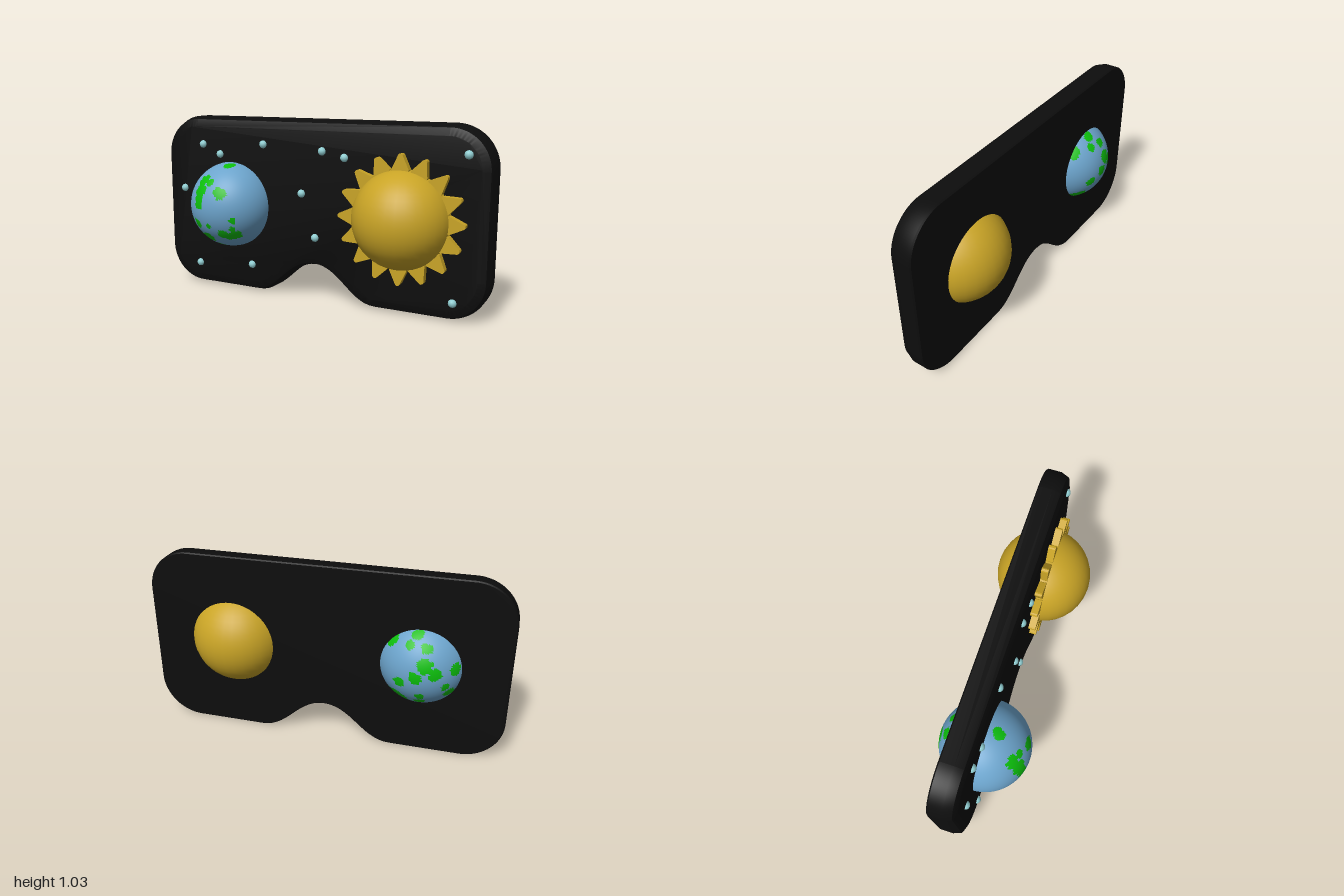
import * as THREE from 'three';
import { toCreasedNormals } from 'three/addons/utils/BufferGeometryUtils.js';

const material = (name, color) => {
  const m = new THREE.MeshStandardMaterial({ color });
  m.name = name;
  return m;
};

// Mask outline, counter-clockwise, with rounded corners and a nose notch
function maskOutline() {
  const r = 0.23, top = 1.027, P = Math.PI;
  const s = new THREE.Shape();
  s.moveTo(0, 0.2);
  s.bezierCurveTo(-0.16, 0.2, -0.22, 0, -0.38, 0);
  s.lineTo(-1 + r, 0);
  s.absarc(-1 + r, r, r, -P / 2, -P, true);
  s.absarc(-1 + r, top - r, r, P, P / 2, true);
  s.absarc(1 - r, top - r, r, P / 2, 0, true);
  s.absarc(1 - r, r, r, 0, -P / 2, true);
  s.lineTo(0.38, 0);
  s.bezierCurveTo(0.22, 0, 0.16, 0.2, 0, 0.2);
  const pts = s.getPoints(14).reverse();
  return pts.filter((p, i) => p.distanceTo(pts[(i + 1) % pts.length]) > 1e-4);
}

// Mask body: the outline repeated as inset rings from back to front, then capped
function maskGeometry() {
  const outline = maskOutline(), n = outline.length;
  const rings = [[-0.125, 0.006], [-0.118, 0], [-0.045, 0], [0, 0.017], [0.015, 0.058]];
  const pos = [], idx = [];
  const inset = d => outline.map((p, i) => {
    const t = outline[(i + 1) % n].clone().sub(outline[(i + n - 1) % n]).normalize();
    return new THREE.Vector2(p.x - t.y * d, p.y + t.x * d);
  });
  for (const [z, d] of rings) for (const p of inset(d)) pos.push(p.x, p.y, z);
  for (let k = 0; k < rings.length - 1; k++) {
    for (let i = 0; i < n; i++) {
      const a = k * n + i, b = k * n + (i + 1) % n;
      idx.push(a, b, b + n, a, b + n, a + n);
    }
  }
  const front = (rings.length - 1) * n;
  for (const [a, b, c] of THREE.ShapeUtils.triangulateShape(outline, [])) {
    idx.push(front + a, front + b, front + c, a, c, b);
  }
  const g = new THREE.BufferGeometry();
  g.setAttribute('position', new THREE.Float32BufferAttribute(pos, 3));
  g.setIndex(idx);
  return toCreasedNormals(g, 0.5);
}

// Land patches on the globe: x, y on the unit sphere and angular radius
const frontLand = [
  [-0.3, 0.63, 0.16], [-0.32, 0.39, 0.17], [-0.34, 0.24, 0.15], [-0.34, 0.1, 0.12],
  [-0.1, 0.6, 0.1], [0.22, 0.39, 0.15], [-0.45, -0.37, 0.12], [-0.71, -0.34, 0.1],
  [0.1, 0.95, 0.14], [-0.09, -0.39, 0.06], [0.5, -0.22, 0.08], [0.24, -0.57, 0.13],
  [0.36, -0.63, 0.14], [0.5, -0.59, 0.12], [0.46, -0.44, 0.07],
  [-0.25, -0.71, 0.16], [-0.42, -0.73, 0.14], [-0.15, -0.94, 0.15],
];
const backLand = [
  [-0.14, 0.27, 0.17], [0.04, -0.02, 0.14], [-0.36, 0.08, 0.14], [0.2, 0.62, 0.1],
  [-0.15, 0.59, 0.12], [0.09, 0.8, 0.13], [-0.75, 0.13, 0.15], [-0.65, -0.45, 0.14],
  [-0.04, -0.72, 0.12], [0.43, -0.69, 0.25], [0.39, -0.19, 0.12], [0.61, 0.6, 0.15],
  [-0.06, -0.51, 0.1], [-0.58, -0.25, 0.1],
];

// Globe faces sorted into water (group 0) and land (group 1)
function globeGeometry() {
  const g = new THREE.SphereGeometry(0.25, 112, 80);
  const toPatch = side => ([x, y, r]) => ({
    dir: new THREE.Vector3(x, y, side * Math.sqrt(Math.max(0, 1 - x * x - y * y))).normalize(), r,
  });
  const patches = [...frontLand.map(toPatch(1)), ...backLand.map(toPatch(-1))];
  const index = g.index.array, sets = [[], []];
  const p = new THREE.Vector3(), v = new THREE.Vector3();
  for (let i = 0; i < index.length; i += 3) {
    p.set(0, 0, 0);
    for (let k = 0; k < 3; k++) p.add(v.fromBufferAttribute(g.attributes.position, index[i + k]));
    p.normalize();
    // Ragged coastlines
    const wobble = 1 + 0.18 * Math.sin(p.x * 23 + p.y * 17) * Math.cos(p.y * 29 - p.z * 13);
    const land = patches.some(q => p.angleTo(q.dir) < q.r * wobble);
    sets[land ? 1 : 0].push(index[i], index[i + 1], index[i + 2]);
  }
  g.setIndex([...sets[0], ...sets[1]]);
  g.addGroup(0, sets[0].length, 0);
  g.addGroup(sets[0].length, sets[1].length, 1);
  return g;
}

export function createModel() {
  const model = new THREE.Group();
  model.name = 'sleepMask';
  const black = material('black', 0x0d0d0d);
  const gold = material('gold', 0xc9a426);
  const blue = material('blue', 0x6ca4cc);
  const green = material('green', 0x0cbe0c);
  const paleCyan = material('paleCyan', 0x90ced2);

  const add = (parent, name, geometry, mat, x = 0, y = 0, z = 0) => {
    const m = new THREE.Mesh(geometry, mat);
    m.name = name;
    m.position.set(x, y, z);
    parent.add(m);
    return m;
  };

  add(model, 'maskBody', maskGeometry(), black);
  add(model, 'globe', globeGeometry(), [blue, green], -0.53, 0.517, 0);

  // Sun ball with a ring of blunt pointed rays
  const sun = new THREE.Group();
  sun.name = 'sun';
  sun.position.set(0.53, 0.522, 0);
  model.add(sun);
  add(sun, 'sunBall', new THREE.SphereGeometry(0.27, 32, 24), gold);
  const ray = new THREE.Shape([
    [0.24, -0.048], [0.268, -0.047], [0.344, -0.012], [0.35, -0.006],
    [0.35, 0.006], [0.344, 0.012], [0.268, 0.047], [0.24, 0.048],
  ].map(([x, y]) => new THREE.Vector2(x, y)));
  const rayGeometry = new THREE.ExtrudeGeometry(ray, { depth: 0.055, bevelEnabled: false });
  for (let i = 0; i < 16; i++) {
    add(sun, 'sunRay', rayGeometry, gold).rotation.z = i * Math.PI / 8;
  }

  // Scattered star beads on the front
  const stars = [
    [-0.727, 0.864], [-0.607, 0.81], [-0.31, 0.88], [0.064, 0.858], [0.198, 0.829], [0.872, 0.88],
    [-0.872, 0.591], [-0.064, 0.615], [0.021, 0.369], [-0.773, 0.131], [-0.396, 0.163], [0.818, 0.107],
  ];
  const bead = new THREE.IcosahedronGeometry(0.024, 1);
  for (const [x, y] of stars) add(model, 'star', bead, paleCyan, x, y, 0.012);

  return model;
}
